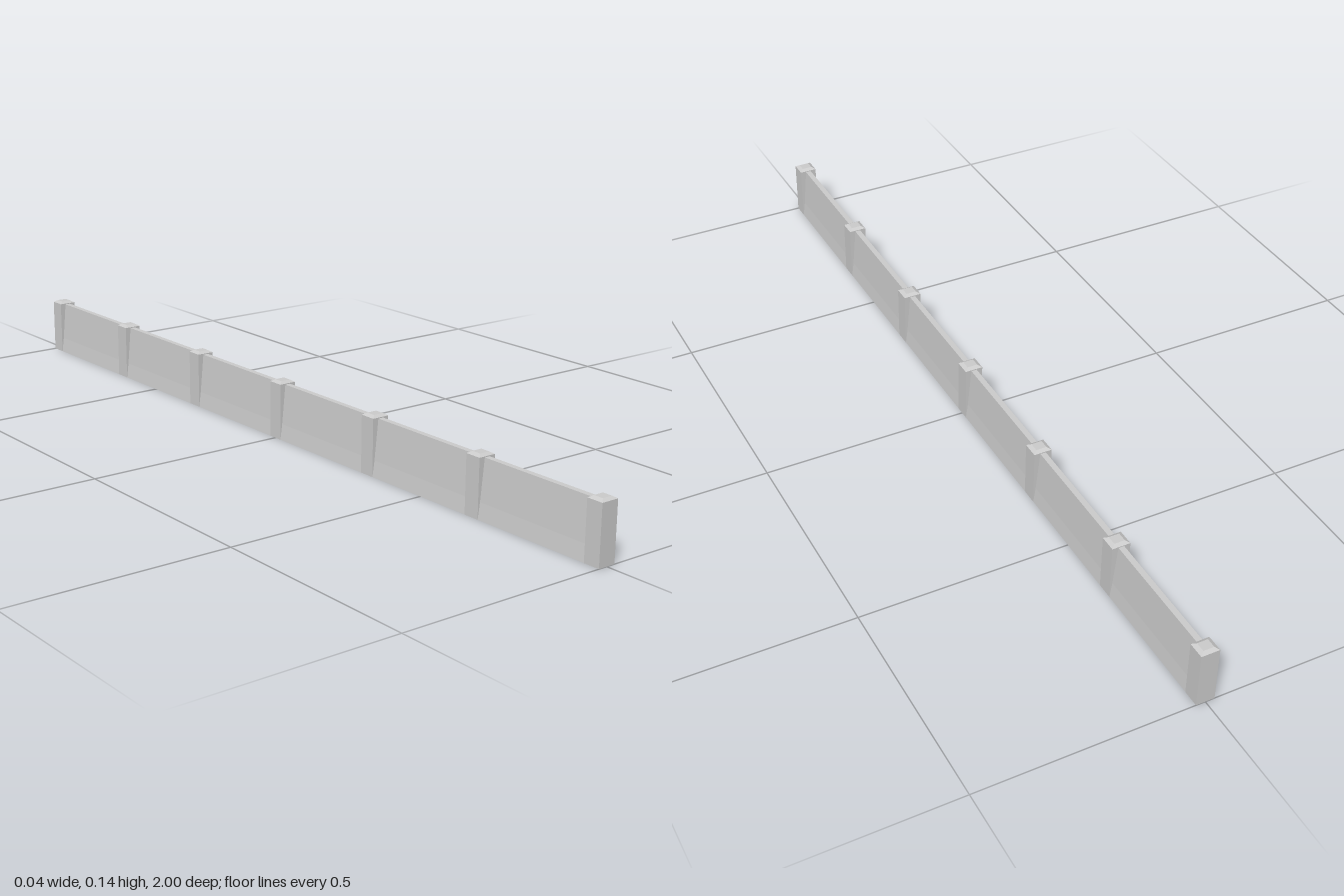
import * as THREE from 'three';

const material = new THREE.MeshStandardMaterial({ color: 0xcccccc, flatShading: true });

// Square post with a shallow bevelled cap, built from stacked square sections
function createPost() {
  const group = new THREE.Group();
  const h = 0.13, cap = 0.005, w = 0.0415, d = 0.038;
  const shaft = new THREE.Mesh(new THREE.BoxGeometry(w, h, d), material);
  shaft.name = 'postShaft';
  shaft.position.y = h / 2;

  // Cap: a box whose top corners are drawn inward
  const capGeometry = new THREE.BoxGeometry(w, cap, d);
  const p = capGeometry.attributes.position;
  for (let i = 0; i < p.count; i++) {
    if (p.getY(i) > 0) {
      p.setX(i, p.getX(i) * 0.58);
      p.setZ(i, p.getZ(i) * 0.58);
    }
  }
  capGeometry.computeVertexNormals();
  const top = new THREE.Mesh(capGeometry, material);
  top.name = 'postCap';
  top.position.y = h + cap / 2;
  group.add(shaft, top);
  return group;
}

// Long wall: wide foot, steep upper slope, narrow flat top
function createWall() {
  const half = [[0.0205, 0], [0.0155, 0.036], [0.0065, 0.128]];
  const outline = [...half, ...half.map(([x, y]) => [-x, y]).reverse()];
  const shape = new THREE.Shape(outline.map(([x, y]) => new THREE.Vector2(x, y)));
  const length = 1.98;
  const geometry = new THREE.ExtrudeGeometry(shape, { depth: length, bevelEnabled: false });
  geometry.translate(0, 0, -length / 2);
  const wall = new THREE.Mesh(geometry, material);
  wall.name = 'barrierWall';
  return wall;
}

export function createModel() {
  const model = new THREE.Group();
  model.name = 'barrier';
  model.add(createWall());

  // Seven evenly spaced posts, the outer two flush with the ends
  const end = 0.981;
  for (let i = 0; i < 7; i++) {
    const post = createPost();
    post.name = `post${i + 1}`;
    post.position.z = -end + (i * 2 * end) / 6;
    model.add(post);
  }
  return model;
}
